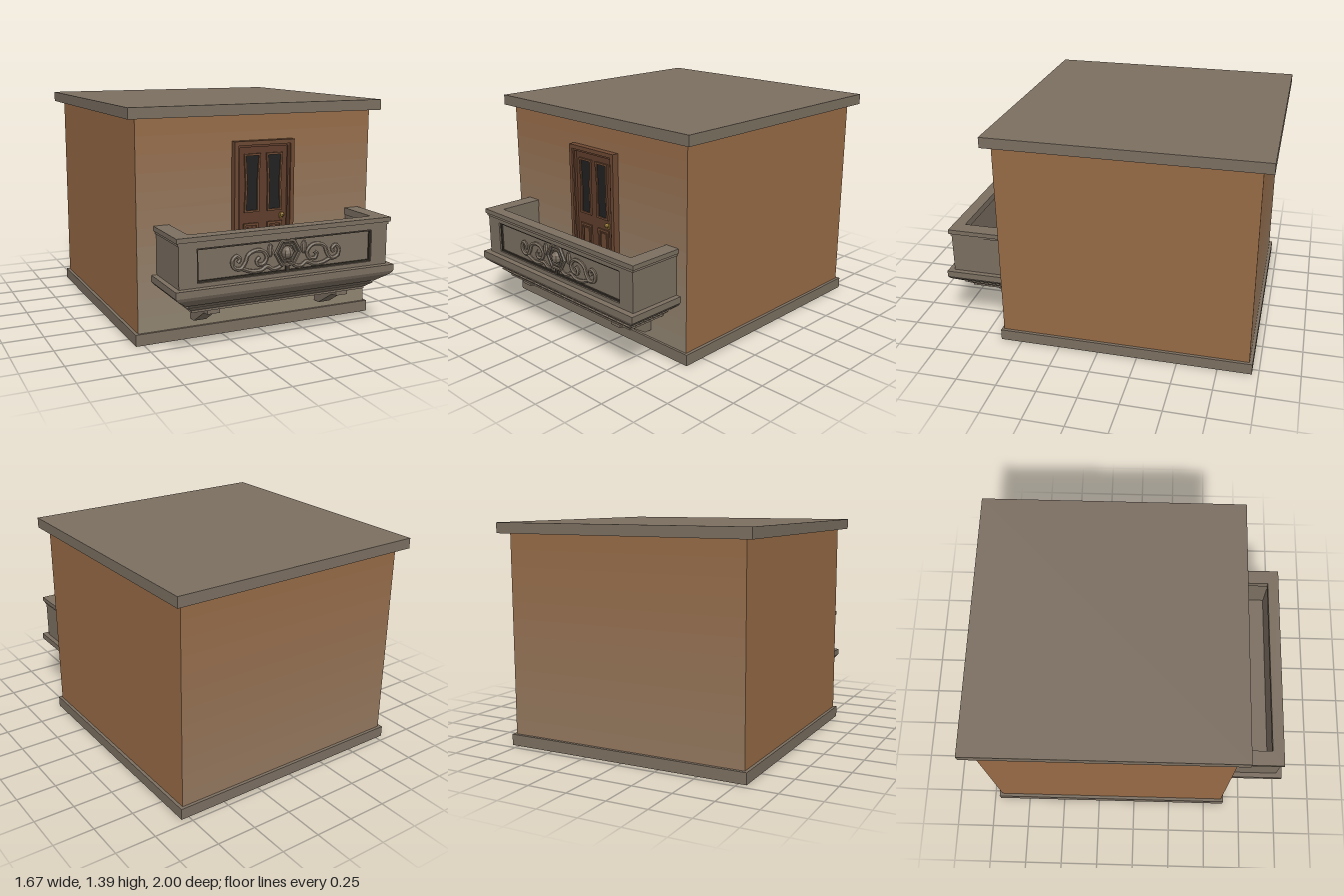
import * as THREE from 'three';

const mat = (color) => new THREE.MeshStandardMaterial({ color, flatShading: true, side: THREE.DoubleSide });
const stone = mat(0x7a6e60), brick = mat(0x966a45), wood = mat(0x5e3c2a), trim = mat(0x6c4832);
const glass = mat(0x202020), brass = mat(0x9a7a35), dark = mat(0x3a332b);
const CX = 0.02; // balcony and door are centred slightly off the house axis

export function createModel() {
  const root = new THREE.Group();

  const add = (parent, name, geometry, material) => {
    const mesh = new THREE.Mesh(geometry, material);
    mesh.name = name;
    parent.add(mesh);
    return mesh;
  };
  // Box given by its limits
  const box = (parent, name, x0, x1, y0, y1, z0, z1, material) => {
    const m = add(parent, name, new THREE.BoxGeometry(x1 - x0, y1 - y0, z1 - z0), material);
    m.position.set((x0 + x1) / 2, (y0 + y1) / 2, (z0 + z1) / 2);
    return m;
  };
  const rect = (Type, x0, x1, y0, y1) => new Type([[x0, y0], [x1, y0], [x1, y1], [x0, y1]]
    .map(([x, y]) => new THREE.Vector2(x, y)));
  // Flat plate with rectangular openings
  const plate = (parent, name, outer, holes, z0, z1, material) => {
    const shape = rect(THREE.Shape, ...outer);
    shape.holes = holes.map((h) => rect(THREE.Path, ...h));
    const m = add(parent, name, new THREE.ExtrudeGeometry(shape, { depth: z1 - z0, bevelEnabled: false }), material);
    m.position.z = z0;
    return m;
  };

  // House: walls fade to stone colour towards the ground on front and back
  const house = new THREE.Group();
  house.name = 'house';
  root.add(house);
  const bands = 12, y0 = 0.06, wallH = 1.27 / bands;
  const top = new THREE.Color(0x966a45), low = new THREE.Color(0x8f8472);
  for (let i = 0; i < bands; i++) {
    const t = (i + 0.5) / bands;
    const front = mat(low.clone().lerp(top, t));
    const back = mat(low.clone().lerp(top, 0.5 + t / 2));
    box(house, 'wallBand', -0.78, 0.78, y0 + i * wallH, y0 + (i + 1) * wallH, -0.94, 0.62,
      [brick, brick, brick, brick, front, back]);
  }
  box(house, 'plinth', -0.8, 0.8, 0, 0.07, -0.96, 0.635, stone);
  box(house, 'roofSlab', -0.835, 0.835, 1.325, 1.39, -1, 0.67, stone);

  // Balcony, built around x = 0 and then shifted
  const balcony = new THREE.Group();
  balcony.name = 'balcony';
  balcony.position.x = CX;
  root.add(balcony);

  // Tier with its own half width and front at the top and at the bottom
  const tier = (name, yb, yt, [wb, zb], [wt, zt]) => {
    const g = new THREE.BoxGeometry(2, 1, 1), p = g.attributes.position;
    for (let i = 0; i < p.count; i++) {
      const up = p.getY(i) > 0;
      p.setXYZ(i, p.getX(i) * (up ? wt : wb), up ? yt : yb, p.getZ(i) > 0 ? (up ? zt : zb) : 0.61);
    }
    g.computeVertexNormals();
    add(balcony, name, g, stone);
  };
  tier('floorLedge', 0.375, 0.415, [0.712, 1], [0.712, 1]);
  tier('ledgeEdge', 0.355, 0.375, [0.695, 0.99], [0.712, 1]);
  tier('upperMoulding', 0.305, 0.355, [0.625, 0.93], [0.695, 0.99]);
  tier('mouldingGroove', 0.295, 0.305, [0.605, 0.915], [0.605, 0.915]);
  tier('lowerMoulding', 0.265, 0.295, [0.58, 0.895], [0.62, 0.93]);
  tier('bottomSlab', 0.25, 0.265, [0.575, 0.89], [0.575, 0.89]);

  // Parapet with a sunk front panel
  plate(balcony, 'parapetFront', [-0.68, 0.68, 0.41, 0.67], [[-0.57, 0.57, 0.44, 0.635]], 0.935, 0.962, stone);
  box(balcony, 'parapetPanel', -0.6, 0.6, 0.41, 0.67, 0.905, 0.942, stone);
  plate(balcony, 'panelBead', [-0.57, 0.57, 0.44, 0.635], [[-0.56, 0.56, 0.45, 0.625]], 0.94, 0.952, dark);
  for (const s of [-1, 1]) {
    box(balcony, 'parapetSide', Math.min(s * 0.605, s * 0.68), Math.max(s * 0.605, s * 0.68), 0.41, 0.67, 0.61, 0.94, stone);
  }
  // U-shaped handrail in two steps
  const rail = (name, w, z, yb, yt) => {
    const s = new THREE.Shape();
    [[-w, 0.61], [-w, z], [w, z], [w, 0.61], [0.6, 0.61], [0.6, 0.9], [-0.6, 0.9], [-0.6, 0.61]]
      .forEach(([x, v], i) => (i ? s.lineTo(x, v) : s.moveTo(x, v)));
    const m = add(balcony, name, new THREE.ExtrudeGeometry(s, { depth: yt - yb, bevelEnabled: false }), stone);
    m.rotation.x = Math.PI / 2;
    m.position.y = yt;
  };
  rail('railNeck', 0.687, 0.967, 0.66, 0.677);
  rail('railCap', 0.697, 0.975, 0.677, 0.705);

  // Carved ornament: mirrored scrolls either side of a hexagonal medallion
  const ornament = new THREE.Group();
  ornament.name = 'ornament';
  ornament.position.z = 0.944;
  balcony.add(ornament);
  const carve = (name, pts, side, closed = false) => {
    const curve = new THREE.CatmullRomCurve3(pts.map(([x, y]) => new THREE.Vector3(x * side, y, 0)), closed);
    add(ornament, name, new THREE.TubeGeometry(curve, pts.length * 4, 0.013, 6, closed), stone);
  };
  const scroll = [[0.315, 0.525], [0.302, 0.545], [0.325, 0.565], [0.35, 0.54], [0.34, 0.5], [0.3, 0.488],
    [0.27, 0.52], [0.25, 0.565], [0.2, 0.585], [0.155, 0.575], [0.132, 0.54], [0.15, 0.505], [0.185, 0.5],
    [0.197, 0.525], [0.178, 0.543]];
  const stem = [[0.29, 0.488], [0.23, 0.466], [0.17, 0.466], [0.13, 0.485], [0.09, 0.463], [0.045, 0.475], [0.03, 0.5]];
  for (const s of [-1, 1]) {
    carve('scroll', scroll, s);
    carve('stem', stem, s);
    const leaf = add(ornament, 'leaf', new THREE.SphereGeometry(1, 8, 6), stone);
    leaf.scale.set(0.02, 0.04, 0.016);
    leaf.position.set(s * 0.11, 0.575, 0);
  }
  for (const [a, b] of [[0.44, 0.49], [0.615, 0.64]]) box(ornament, 'centreBar', -0.012, 0.012, a, b, -0.005, 0.012, dark);
  for (const [r, t] of [[0.08, 0.011], [0.055, 0.009]]) {
    const ring = add(ornament, 'medallionRing', new THREE.TorusGeometry(r, t, 6, 6), stone);
    ring.position.set(0, 0.553, 0.008);
  }
  const boss = add(ornament, 'medallionBoss', new THREE.SphereGeometry(0.037, 8, 6), stone);
  boss.position.set(0, 0.553, 0.003);

  // Support brackets
  const profile = new THREE.Shape([[0.61, 0.26], [0.87, 0.26], [0.87, 0.22], [0.82, 0.215], [0.67, 0.12], [0.61, 0.12]]
    .map(([z, y]) => new THREE.Vector2(z, y)));
  for (const s of [-1, 1]) {
    const b = add(balcony, 'bracket', new THREE.ExtrudeGeometry(profile, { depth: 0.08, bevelEnabled: false }), stone);
    b.rotation.y = -Math.PI / 2;
    b.position.x = s * 0.43 + 0.04;
  }

  // Door
  const door = new THREE.Group();
  door.name = 'door';
  door.position.x = CX;
  root.add(door);
  plate(door, 'doorFrame', [-0.2, 0.2, 0.41, 1.17], [[-0.175, 0.175, 0.41, 1.145]], 0.61, 0.663, trim);
  plate(door, 'doorInnerFrame', [-0.175, 0.175, 0.41, 1.145], [[-0.162, 0.162, 0.41, 1.132]], 0.61, 0.652, wood);
  box(door, 'doorSlab', -0.165, 0.165, 0.41, 1.135, 0.61, 0.636, wood);
  // Slightly crooked window panes with a raised surround
  const pane = (grow, s) => [[-0.038, 0.75], [0.038, 0.75], [0.03, 0.9], [0.04, 1.08], [-0.046, 1.08], [-0.036, 0.93]]
    .map(([x, y]) => new THREE.Vector2(s * (0.077 + x + Math.sign(x) * grow), y + (y > 1 ? grow : y < 0.8 ? -grow : 0)));
  for (const s of [-1, 1]) {
    const g = add(door, 'windowPane', new THREE.ExtrudeGeometry(new THREE.Shape(pane(0, s)), { depth: 0.006, bevelEnabled: false }), glass);
    g.position.z = 0.634;
    const surround = new THREE.Shape(pane(0.012, s));
    surround.holes.push(new THREE.Path(pane(0, s)));
    const f = add(door, 'windowSurround', new THREE.ExtrudeGeometry(surround, { depth: 0.014, bevelEnabled: false }), trim);
    f.position.z = 0.634;
    const [a, b] = s > 0 ? [0.03, 0.13] : [-0.13, -0.03];
    plate(door, 'lowerPanelFrame', [a, b, 0.46, 0.67], [[a + 0.014, b - 0.014, 0.474, 0.656]], 0.634, 0.646, trim);
    box(door, 'lowerPanel', a + 0.026, b - 0.026, 0.486, 0.644, 0.634, 0.642, trim);
  }
  const knob = add(door, 'doorKnob', new THREE.SphereGeometry(0.014, 10, 8), brass);
  knob.position.set(0.125, 0.71, 0.655);
  box(door, 'knobPlate', 0.116, 0.134, 0.685, 0.72, 0.634, 0.645, brass);

  return root;
}
